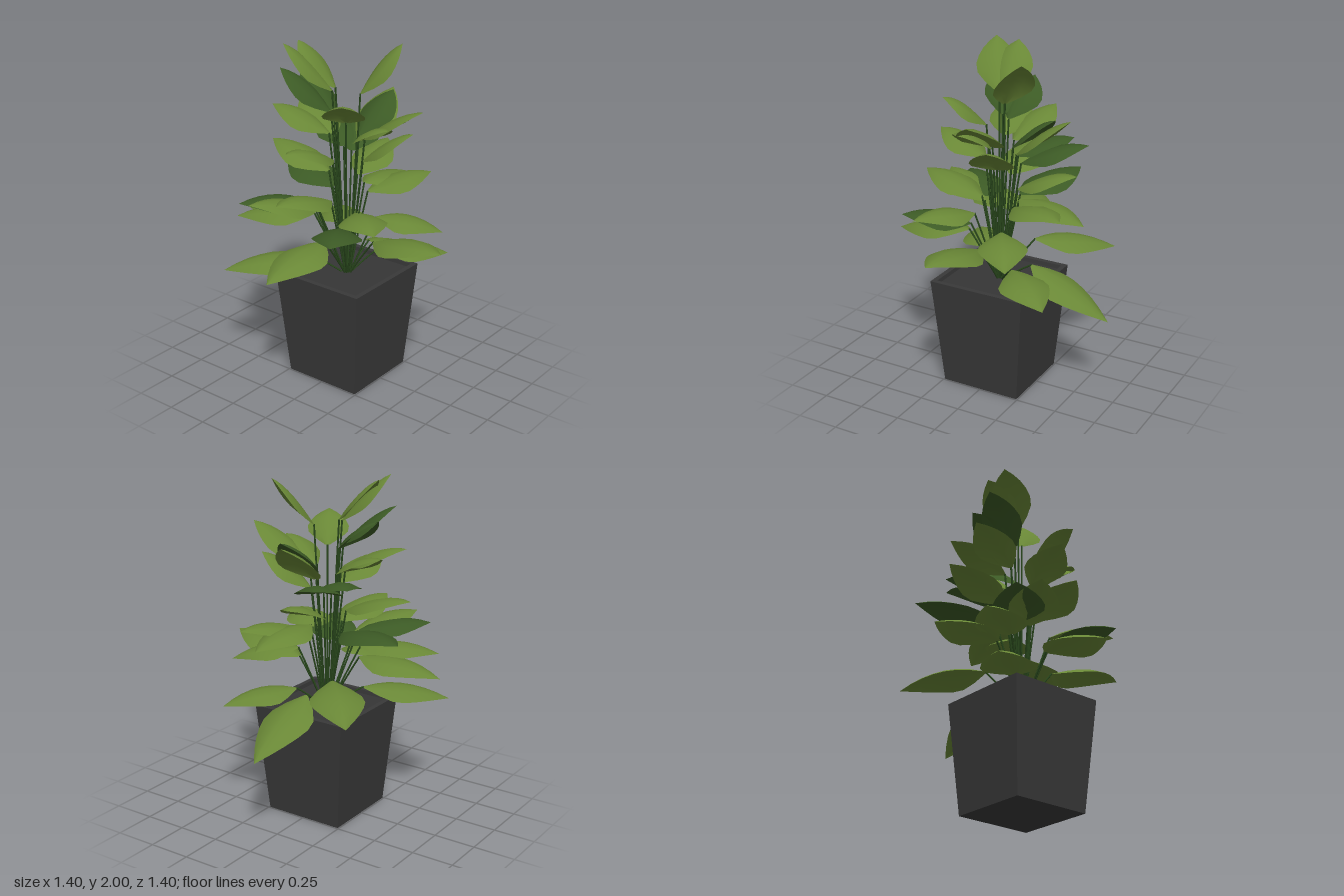
import * as THREE from 'three';

const mat = (name, color, side = THREE.FrontSide) => {
  const m = new THREE.MeshStandardMaterial({ color, side });
  m.name = name;
  return m;
};

// Leaves, lowest first: tip x, y, z and height of the leaf base
const LIGHT_LEAVES = [
  [0, 0.51, -0.70, 0.76], [-0.01, 0.81, 0.70, 0.90], [0.70, 0.96, 0.07, 0.89], [-0.70, 0.91, 0.09, 0.97],
  [-0.48, 0.76, -0.52, 0.86], [0.39, 0.69, -0.48, 0.76], [-0.56, 0.65, 0.46, 0.74], [-0.55, 0.96, 0.34, 1.00],
  [0.47, 0.91, -0.29, 0.99], [0.43, 1.08, 0.32, 1.07], [-0.30, 1.14, 0.51, 1.06], [-0.07, 1.20, 0.54, 1.12],
  [0.24, 1.17, -0.50, 1.12], [0.08, 1.10, -0.57, 1.16], [-0.55, 1.35, 0.01, 1.24], [-0.05, 1.33, -0.46, 1.21],
  [0.47, 1.69, -0.06, 1.48], [0.37, 1.53, -0.12, 1.34], [0.35, 1.60, 0.09, 1.47], [-0.08, 1.47, 0.44, 1.36],
  [-0.44, 1.60, -0.13, 1.46], [-0.45, 1.61, 0.12, 1.48], [0, 1.66, -0.44, 1.42], [0.17, 1.74, 0.27, 1.58],
  [-0.30, 2.00, 0.19, 1.74], [-0.31, 1.99, 0.05, 1.75], [0.20, 1.99, -0.24, 1.72],
];
const DARK_LEAVES = [
  [0.27, 1.03, 0.50, 0.98], [-0.43, 1.10, 0.45, 1.08], [-0.61, 1.17, -0.22, 1.12], [-0.22, 1.46, -0.45, 1.35],
  [-0.34, 1.45, -0.30, 1.38], [0.05, 1.67, -0.37, 1.46], [-0.36, 1.78, -0.03, 1.59], [-0.37, 1.84, 0.14, 1.61],
];

// Half width along the leaf, from base to tip
const OUTLINE = [0.1, 0.62, 0.95, 1, 0.87, 0.66, 0.37, 0];

// Arched blade with drooping edges, built from cross-sections
function leafGeometry(base, tip, width) {
  const out = new THREE.Vector3(tip.x, 0, tip.z).normalize();
  const side = new THREE.Vector3(out.z, 0, -out.x);
  const ctrl = base.clone().lerp(tip, 0.5).addScaledVector(out, 0.02);
  ctrl.y += 0.085;
  const spine = new THREE.QuadraticBezierCurve3(base, ctrl, tip);
  const rows = OUTLINE.length - 1, cols = 4, n = cols + 1;
  const pos = [], idx = [];
  for (let i = 0; i <= rows; i++) {
    const p = spine.getPoint(i / rows);
    const up = spine.getTangent(i / rows).cross(side).normalize();
    const half = OUTLINE[i] * width / 2;
    for (let j = 0; j <= cols; j++) {
      const s = j / cols * 2 - 1;
      const v = p.clone().addScaledVector(side, s * half).addScaledVector(up, -0.36 * s * s * half);
      pos.push(v.x, v.y, v.z);
    }
  }
  for (let i = 0; i < rows; i++) {
    for (let j = 0; j < cols; j++) {
      const a = i * n + j, b = a + n;
      idx.push(a, b, a + 1);
      if (i < rows - 1) idx.push(a + 1, b, b + 1);
    }
  }
  const g = new THREE.BufferGeometry();
  g.setAttribute('position', new THREE.Float32BufferAttribute(pos, 3));
  g.setIndex(idx);
  g.computeVertexNormals();
  return g;
}

// Square lathe with flat sides
function squareLathe(points) {
  const g = new THREE.LatheGeometry(
    points.map(([h, y]) => new THREE.Vector2(h * Math.SQRT2, y)), 4, Math.PI / 4).toNonIndexed();
  g.computeVertexNormals();
  return g;
}

export function createModel() {
  const model = new THREE.Group();
  model.name = 'pottedPlant';
  const potMat = mat('charcoal pot', 0x393939);
  const soilMat = mat('dark soil', 0x363636);
  const stemMat = mat('stem green', 0x29481c);
  const lightMat = mat('light leaf green', 0x698736, THREE.DoubleSide);
  const darkMat = mat('dark leaf green', 0x3c5a25, THREE.DoubleSide);
  const add = (parent, name, geo, material) => {
    const m = new THREE.Mesh(geo, material);
    m.name = name;
    parent.add(m);
  };

  // Tapered square pot with a thin rim, and the soil inside
  add(model, 'pot', squareLathe([[0, 0], [0.243, 0], [0.297, 0.66], [0.268, 0.66], [0.265, 0.62]]), potMat);
  const soil = new THREE.PlaneGeometry(0.534, 0.534).rotateX(-Math.PI / 2).translate(0, 0.635, 0);
  add(model, 'soil', soil, soilMat);

  // Stems fanning out from the centre, each with one leaf
  const foliage = new THREE.Group();
  foliage.name = 'foliage';
  model.add(foliage);
  const grow = (leaves, material) => {
    for (const [x, y, z, baseY] of leaves) {
      const r = Math.hypot(x, z);
      const reach = baseY < 1.1 ? 0.3 : 0.24;
      const base = new THREE.Vector3(x * reach, baseY, z * reach);
      const foot = new THREE.Vector3(x / r * 0.015, 0.62, z / r * 0.015);
      const mid = foot.clone().lerp(base, 0.5);
      mid.y += 0.015;
      const stem = new THREE.QuadraticBezierCurve3(foot, mid, base);
      add(foliage, 'stem', new THREE.TubeGeometry(stem, 4, 0.0055, 5), stemMat);
      // longer leaves are wider
      add(foliage, 'leaf', leafGeometry(base, new THREE.Vector3(x, y, z), 0.18 + 0.18 * r), material);
    }
  };
  grow(LIGHT_LEAVES, lightMat);
  grow(DARK_LEAVES, darkMat);
  return model;
}
